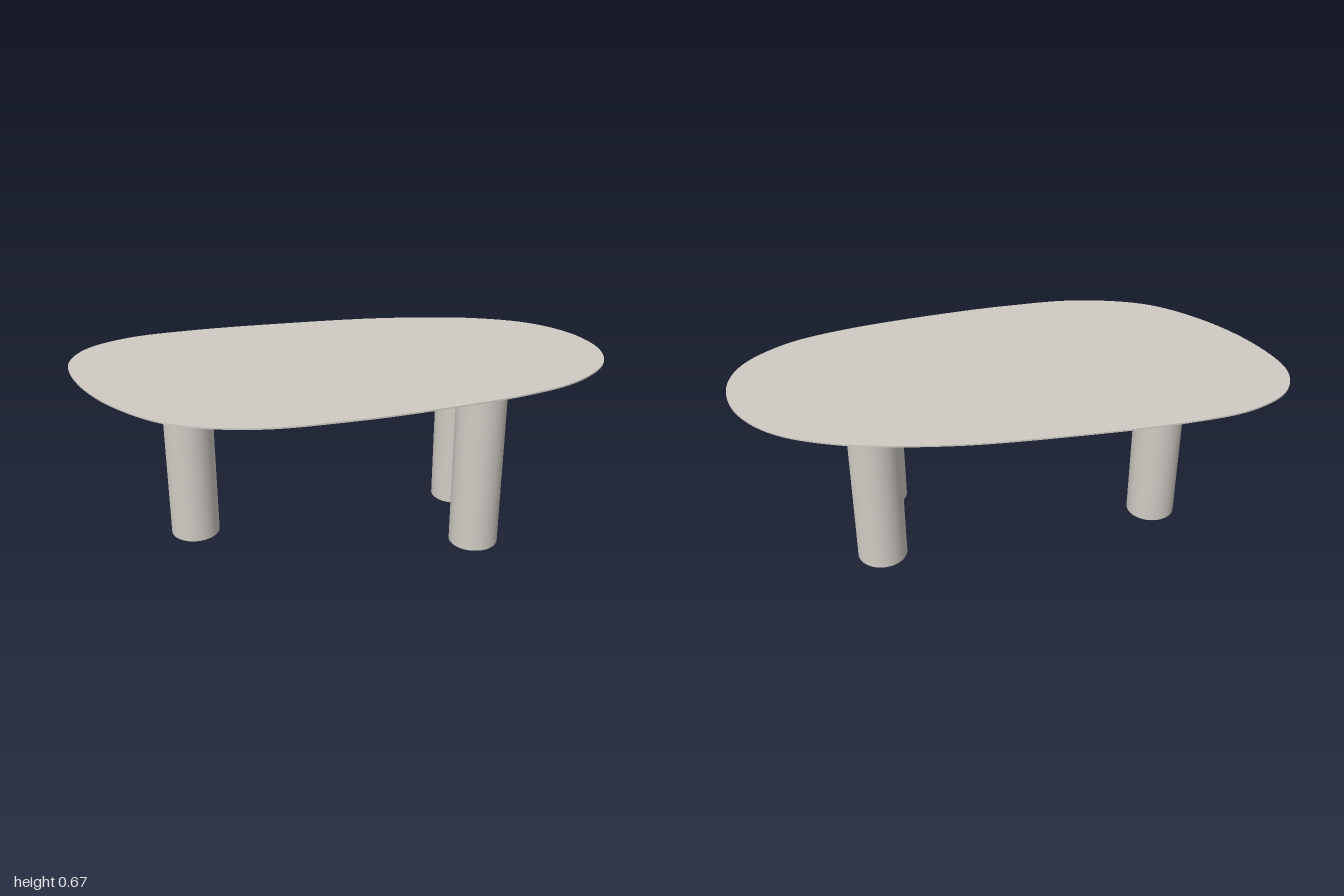
import * as THREE from 'three';

const TOP_Y = 0.672, RIM_Y = 0.666, UNDER_Y = 0.632, BEVEL = 0.077, SEGMENTS = 160;

// Pebble outline of the tabletop as [x, z], clockwise seen from above
const OUTLINE = [
  [-1, -0.14], [-0.95, -0.28], [-0.8, -0.385], [-0.55, -0.445], [-0.2, -0.485], [0.24, -0.506],
  [0.6, -0.465], [0.82, -0.375], [0.95, -0.235], [1, -0.07], [0.965, 0.085], [0.82, 0.235],
  [0.6, 0.335], [0.2, 0.438], [-0.05, 0.482], [-0.32, 0.504], [-0.6, 0.442], [-0.8, 0.28], [-0.945, 0.06],
];

// Outline ring at a height, moved inwards by an even inset
function ring(curve, inset, y) {
  return Array.from({ length: SEGMENTS }, (_, i) => {
    const u = i / SEGMENTS;
    const p = curve.getPointAt(u), t = curve.getTangentAt(u);
    return new THREE.Vector3(p.x - t.z * inset, y, p.z + t.x * inset);
  });
}

// Closed strip between a lower and an upper ring, smooth within itself
function band(lower, upper) {
  const n = lower.length, index = [];
  for (let i = 0; i < n; i++) {
    const j = (i + 1) % n;
    index.push(j, i, n + i, j, n + i, n + j);
  }
  const geometry = new THREE.BufferGeometry().setFromPoints([...lower, ...upper]);
  geometry.setIndex(index);
  geometry.computeVertexNormals();
  return geometry;
}

export function createModel() {
  const group = new THREE.Group();
  group.name = 'table';
  const stone = new THREE.MeshStandardMaterial({ color: 0xd0cbc4 });
  stone.name = 'warm grey';

  const add = (parent, name, geometry) => {
    const mesh = new THREE.Mesh(geometry, stone);
    mesh.name = name;
    parent.add(mesh);
    return mesh;
  };

  // Tabletop: flat underside, wide bevel, thin rim and flat surface
  const curve = new THREE.CatmullRomCurve3(
    OUTLINE.map(([x, z]) => new THREE.Vector3(x, 0, z)), true, 'centripetal');
  curve.arcLengthDivisions = 800;
  const centre = (y) => Array.from({ length: SEGMENTS }, () => new THREE.Vector3(0, y, 0));
  const under = ring(curve, BEVEL, UNDER_Y);
  const rim = ring(curve, 0, RIM_Y);
  const edge = ring(curve, 0, TOP_Y);
  const tabletop = new THREE.Group();
  tabletop.name = 'tabletop';
  group.add(tabletop);
  add(tabletop, 'underside', band(centre(UNDER_Y), under));
  add(tabletop, 'bevel', band(under, rim));
  add(tabletop, 'rim', band(rim, edge));
  add(tabletop, 'surface', band(edge, centre(TOP_Y)));

  // Three round legs
  const legGeometry = new THREE.CylinderGeometry(0.0925, 0.0925, UNDER_Y, 64);
  const legs = { rightLeg: [-0.572, -0.02], frontLeftLeg: [0.493, 0.166], backLeftLeg: [0.496, -0.206] };
  for (const [name, [x, z]] of Object.entries(legs)) {
    add(group, name, legGeometry).position.set(x, UNDER_Y / 2, z);
  }

  return group;
}
